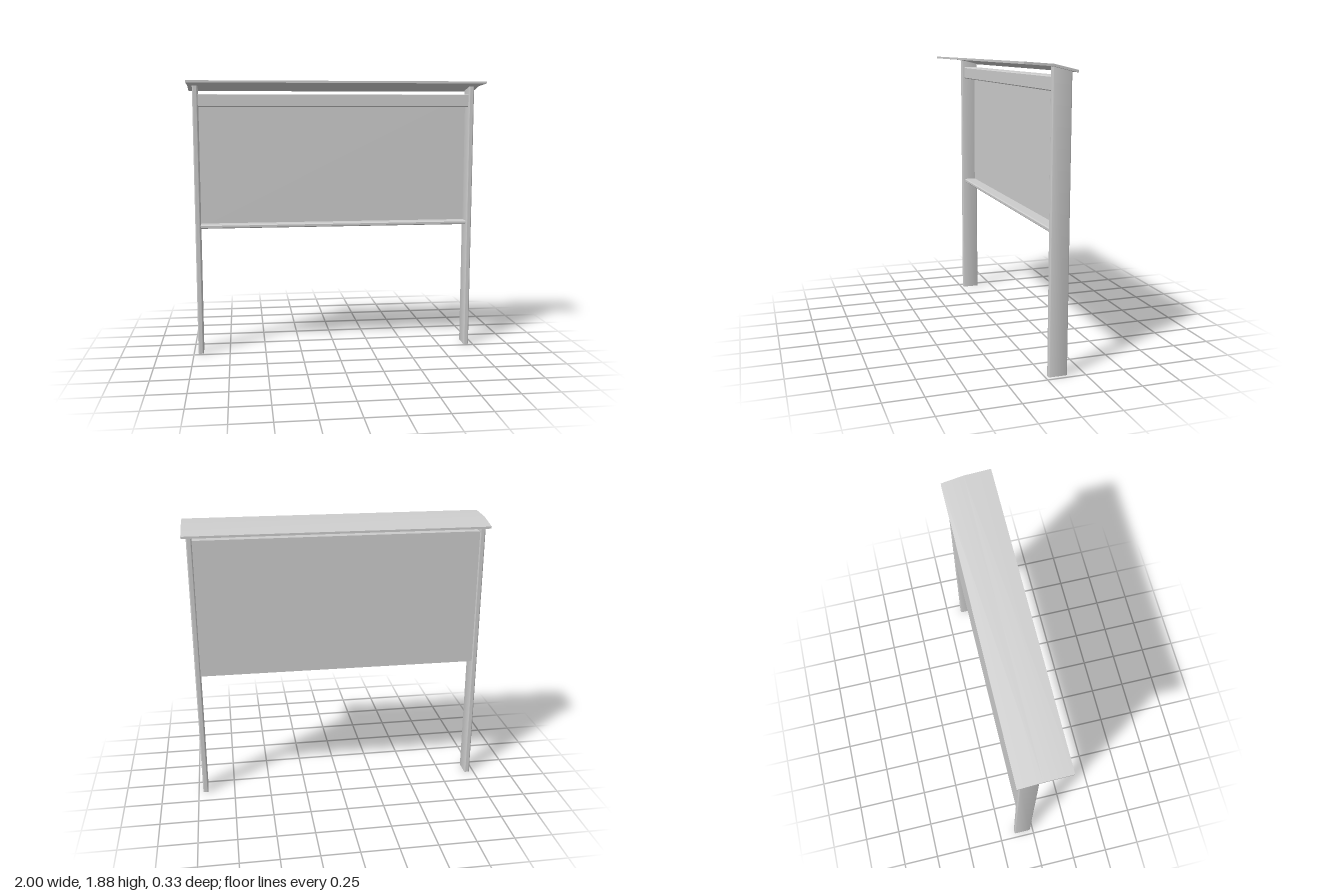
import * as THREE from 'three';
import { toCreasedNormals } from 'three/addons/utils/BufferGeometryUtils.js';

const material = new THREE.MeshStandardMaterial({ color: 0xcccccc });

function addMesh(group, name, geometry) {
  const mesh = new THREE.Mesh(toCreasedNormals(geometry, 0.6), material);
  mesh.name = name;
  group.add(mesh);
  return mesh;
}

// Extrudes a [z, y] profile along x, centred on x = 0
function extrudeAlongX(profile, width) {
  const shape = new THREE.Shape(profile.map(([z, y]) => new THREE.Vector2(-z, y)));
  const geometry = new THREE.ExtrudeGeometry(shape, { depth: width, bevelEnabled: false });
  geometry.translate(0, 0, -width / 2);
  return geometry.rotateY(Math.PI / 2);
}

// Rounded rectangle centred on the origin
function roundedRect(w, h, r) {
  const s = new THREE.Shape();
  const x = w / 2 - r, y = h / 2 - r;
  s.absarc(x, y, r, 0, Math.PI / 2);
  s.absarc(-x, y, r, Math.PI / 2, Math.PI);
  s.absarc(-x, -y, r, Math.PI, Math.PI * 1.5);
  s.absarc(x, -y, r, Math.PI * 1.5, Math.PI * 2);
  s.closePath();
  return s;
}

// Upright with rounded corners and a top cut to the slope of the roof
function postGeometry() {
  const geometry = new THREE.ExtrudeGeometry(roundedRect(0.036, 0.12, 0.008), {
    depth: 1, bevelEnabled: false, curveSegments: 5,
  });
  geometry.rotateX(-Math.PI / 2).translate(0, 0, -0.08);
  const p = geometry.attributes.position;
  for (let i = 0; i < p.count; i++) {
    if (p.getY(i) > 0.5) p.setY(i, 1.855 + (p.getZ(i) + 0.02) * 0.22);
  }
  return geometry;
}

export function createModel() {
  const group = new THREE.Group();

  // Posts
  for (const side of [1, -1]) {
    addMesh(group, side > 0 ? 'leftPost' : 'rightPost', postGeometry()).position.x = side * 0.952;
  }

  // Folded canopy roof
  addMesh(group, 'roof', extrudeAlongX([
    [0.163, 1.866], [0.163, 1.88], [-0.015, 1.867], [-0.163, 1.832],
    [-0.163, 1.818], [-0.015, 1.853],
  ], 2));

  // Display board, with a deep box along the top and a shallow ledge below
  const width = 1.87;
  addMesh(group, 'board', extrudeAlongX([
    [-0.12, 0.88], [-0.12, 1.797], [-0.134, 1.797], [-0.134, 0.88],
  ], width));
  addMesh(group, 'topBox', extrudeAlongX([
    [-0.046, 1.71], [-0.04, 1.716], [-0.04, 1.791], [-0.046, 1.797],
    [-0.12, 1.797], [-0.12, 1.71],
  ], width));
  addMesh(group, 'bottomLedge', extrudeAlongX([
    [-0.046, 0.88], [-0.04, 0.886], [-0.04, 0.9], [-0.046, 0.906],
    [-0.12, 0.906], [-0.12, 0.88],
  ], width));

  return group;
}
